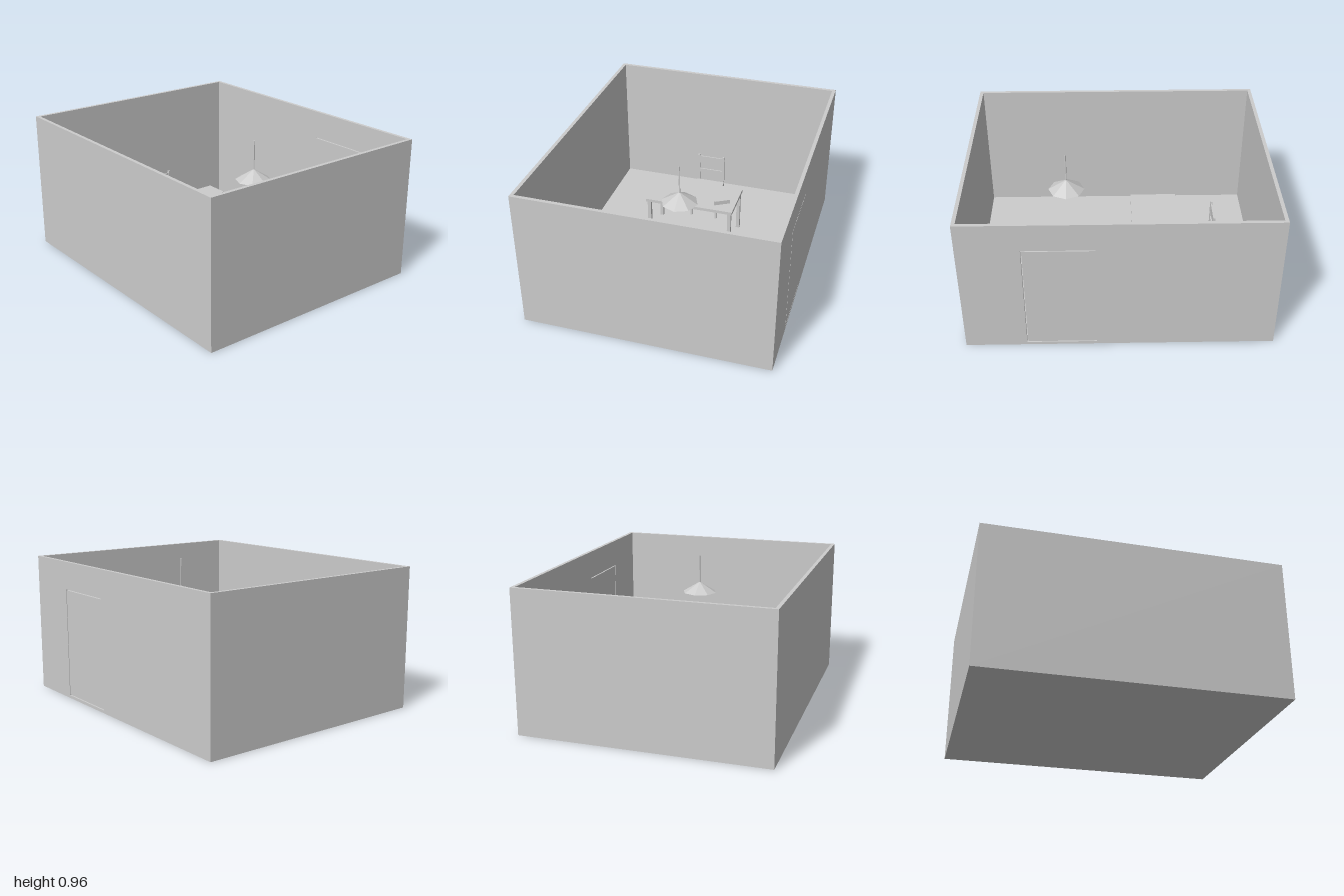
import * as THREE from 'three';

const material = new THREE.MeshStandardMaterial({ color: 0xcccccc, flatShading: true });
const openMaterial = new THREE.MeshStandardMaterial({ color: 0xcccccc, flatShading: true, side: THREE.DoubleSide });

const W = 0.83, D = 1, H = 0.965, T = 0.024; // room half width, half depth, height, wall thickness

function add(parent, name, geometry, mat = material) {
  const mesh = new THREE.Mesh(geometry, mat);
  mesh.name = name;
  parent.add(mesh);
  return mesh;
}

// Box given by its lower and upper limits on each axis
function box(parent, name, [x0, x1], [y0, y1], [z0, z1]) {
  const mesh = add(parent, name, new THREE.BoxGeometry(x1 - x0, y1 - y0, z1 - z0));
  mesh.position.set((x0 + x1) / 2, (y0 + y1) / 2, (z0 + z1) / 2);
  return mesh;
}

function group(parent, name) {
  const g = new THREE.Group();
  g.name = name;
  parent.add(g);
  return g;
}

function createRoom(parent) {
  const room = group(parent, 'room');
  box(room, 'floor', [-W + T, W - T], [0, T], [-D + T, D - T]);
  box(room, 'rightWall', [-W, -W + T], [0, H], [-D, D]);
  box(room, 'backWall', [-W + T, W - T], [0, H], [-D, -D + T]);
  box(room, 'frontWall', [-W + T, W - T], [0, H], [D - T, D]);

  // Wall with a doorway, drawn in the z-y plane
  const outline = new THREE.Shape([[-D, 0], [D, 0], [D, H], [-D, H]].map(p => new THREE.Vector2(...p)));
  outline.holes.push(new THREE.Path(
    [[0.15, 0.02], [0.15, 0.774], [0.604, 0.774], [0.604, 0.02]].map(p => new THREE.Vector2(...p))));
  const wall = add(room, 'leftWall', new THREE.ExtrudeGeometry(outline, { depth: T, bevelEnabled: false }));
  wall.rotation.y = -Math.PI / 2;
  wall.position.x = W;

  // Door leaf, hinged at the rear with a narrow gap on the other sides
  box(room, 'door', [W - T, W], [0.027, 0.768], [0.15, 0.597]);
}

function createDesk(parent) {
  const desk = group(parent, 'desk');
  const [x0, x1, z0, z1, top] = [-0.357, 0.285, -0.43, -0.10, 0.35];
  box(desk, 'deskTop', [x0, x1], [top - 0.022, top], [z0, z1]);
  for (const x of [x0 + 0.01, x1 - 0.035])
    for (const z of [z0 + 0.01, z1 - 0.035])
      box(desk, 'deskLeg', [x, x + 0.025], [T, top - 0.022], [z, z + 0.025]);

  // Small slab lying askew on the desk
  const item = add(desk, 'deskItem', new THREE.BoxGeometry(0.115, 0.03, 0.02));
  item.position.set(0.188, top + 0.015, -0.195);
  item.rotation.y = Math.PI / 6;
}

function createChair(parent) {
  const chair = group(parent, 'chair');
  const [x0, x1, z0, z1, seat] = [-0.128, 0.085, -0.645, -0.455, 0.235];
  box(chair, 'seat', [x0, x1], [seat - 0.02, seat], [z0 - 0.012, z1]);
  for (const x of [x0 + 0.003, x1 - 0.018]) {
    box(chair, 'frontLeg', [x, x + 0.015], [T, seat - 0.02], [z1 - 0.02, z1 - 0.005]);
    box(chair, 'backPost', [x, x + 0.015], [T, 0.448], [-0.676, -0.661]);
  }
  // Back slats
  for (const [low, high] of [[0.375, 0.435], [0.295, 0.325]])
    box(chair, 'backSlat', [x0 + 0.018, x1 - 0.018], [low, high], [-0.673, -0.664]);
}

function createLamp(parent) {
  const lamp = group(parent, 'pendantLamp');
  lamp.position.set(0.04, 0, 0.35);
  add(lamp, 'shade', new THREE.ConeGeometry(0.122, 0.075, 8, 1, true), openMaterial).position.y = 0.7175;
  add(lamp, 'cord', new THREE.CylinderGeometry(0.005, 0.005, 0.21, 8)).position.y = 0.845;
}

export function createModel() {
  const model = new THREE.Group();
  model.name = 'furnishedRoom';
  createRoom(model);
  createDesk(model);
  createChair(model);
  createLamp(model);
  return model;
}
